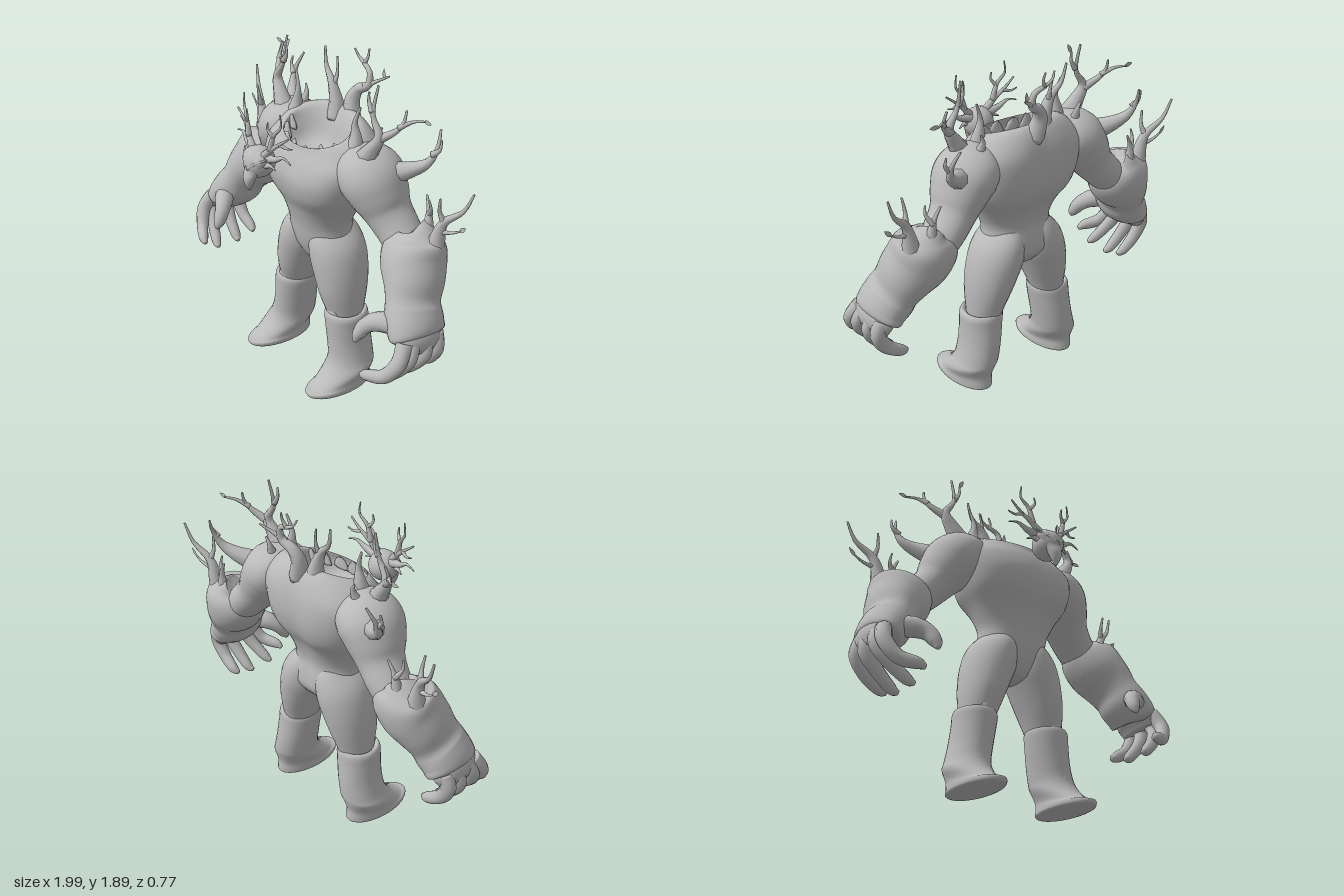
import * as THREE from 'three';
import { mergeGeometries } from 'three/addons/utils/BufferGeometryUtils.js';

const bark = new THREE.MeshStandardMaterial({ color: 0xbababa, side: THREE.DoubleSide });
bark.name = 'pale grey bark';

// Smooth in-between rows of a short table of cross-sections
function refine(rows, steps) {
  const out = [], n = rows.length - 1;
  for (let i = 0; i < n; i++) {
    const p = rows[Math.max(i - 1, 0)], a = rows[i], b = rows[i + 1], q = rows[Math.min(i + 2, n)];
    for (let s = 0; s < steps; s++) {
      const t = s / steps;
      out.push(a.map((v, k) => v + 0.5 * t * (b[k] - p[k]
        + t * (2 * p[k] - 5 * v + 4 * b[k] - q[k] + t * (3 * (v - b[k]) + q[k] - p[k])))));
    }
  }
  out.push(rows[n]);
  return out;
}

// Skin a list of rings and close both ends
function skin(rings) {
  const n = rings[0].length, pos = [], index = [];
  rings.forEach(r => r.forEach(p => pos.push(p.x, p.y, p.z)));
  for (let i = 0; i < rings.length - 1; i++) for (let j = 0; j < n; j++) {
    const k = (j + 1) % n, a = i * n + j, b = i * n + k;
    index.push(a, a + n, b, b, a + n, b + n);
  }
  [rings[0], rings[rings.length - 1]].forEach((r, e) => {
    const c = r.reduce((s, p) => s.add(p), new THREE.Vector3()).divideScalar(n);
    const id = pos.length / 3, base = e ? (rings.length - 1) * n : 0;
    pos.push(c.x, c.y, c.z);
    for (let j = 0; j < n; j++) {
      const a = base + j, b = base + (j + 1) % n;
      if (e) index.push(a, id, b); else index.push(a, b, id);
    }
  });
  const g = new THREE.BufferGeometry();
  g.setAttribute('position', new THREE.Float32BufferAttribute(pos, 3));
  g.setIndex(index);
  g.computeVertexNormals();
  return g;
}

// Level rings: rows of [x, y, z, halfWidth, halfDepth, tilt]
function stack(rows, sides = 28, shape = () => 1, steps = 4) {
  return skin(refine(rows, steps).map(([x, y, z, rx, rz, tilt = 0]) => {
    const ring = [];
    for (let j = 0; j < sides; j++) {
      const t = j / sides * Math.PI * 2, k = shape(t, y);
      const dz = Math.sin(t) * rz * k;
      ring.push(new THREE.Vector3(x + Math.cos(t) * rx * k, y - tilt * dz, z + dz));
    }
    return ring;
  }));
}

// Rings square to a path: rows of [x, y, z, halfWidth, halfDepth]
function limb(rows, sides = 18, steps = 5) {
  const r = refine(rows, steps), P = r.map(q => new THREE.Vector3(q[0], q[1], q[2]));
  return skin(r.map((q, i) => {
    const t = P[Math.min(i + 1, r.length - 1)].clone().sub(P[Math.max(i - 1, 0)]).normalize();
    const v = new THREE.Vector3(0, 0, 1).addScaledVector(t, -t.z).normalize();
    const u = t.clone().cross(v), ring = [];
    for (let j = 0; j < sides; j++) {
      const w = j / sides * Math.PI * 2;
      ring.push(P[i].clone().addScaledVector(u, Math.cos(w) * q[3]).addScaledVector(v, Math.sin(w) * q[4]));
    }
    return ring;
  }));
}

// Twig through a few points, flared at the root
const twig = (r0, r1, ...pts) => limb(pts.map((p, i) => {
  const r = r1 + (r0 - r1) * (1 - i / (pts.length - 1)) ** 1.6;
  return [...p, r, r];
}), 8, 4);

// Small flat leaf
function leaf(x, y, z, turn) {
  const s = new THREE.Shape();
  s.moveTo(0, 0);
  s.quadraticCurveTo(0.025, 0.02, 0, 0.06);
  s.quadraticCurveTo(-0.025, 0.02, 0, 0);
  return new THREE.ShapeGeometry(s, 5).rotateZ(turn).translate(x, y, z);
}

export function createModel() {
  const model = new THREE.Group();
  const add = (name, parts, parent = model) => {
    const list = [].concat(parts).map(g => { g.deleteAttribute('uv'); return g; });
    const m = new THREE.Mesh(list.length > 1 ? mergeGeometries(list) : list[0], bark);
    m.name = name;
    parent.add(m);
  };
  const gap = (t, c) => Math.atan2(Math.sin(t - c), Math.cos(t - c));
  const { smoothstep } = THREE.MathUtils;

  // Torso with a boxy chest, a hollow at the neck, a spine groove and a chest crease
  add('torso', stack([
    [0, 0.70, -0.08, 0.03, 0.05, 0], [0, 0.725, -0.085, 0.09, 0.1, 0], [0, 0.80, -0.095, 0.18, 0.15, 0],
    [0, 0.88, -0.085, 0.21, 0.16, 0], [0, 0.97, -0.07, 0.208, 0.16, 0], [0, 1.08, -0.07, 0.255, 0.19, 0],
    [0, 1.18, -0.075, 0.315, 0.24, 0], [0, 1.29, -0.08, 0.35, 0.26, 0.03], [0, 1.40, -0.09, 0.36, 0.24, 0.12],
    [0, 1.49, -0.085, 0.30, 0.20, 0.25], [0, 1.515, -0.06, 0.225, 0.17, 0.33], [0, 1.45, -0.03, 0.195, 0.15, 0.25],
    [0, 1.36, -0.025, 0.14, 0.11, 0.1], [0, 1.33, -0.025, 0.02, 0.02, 0],
  ], 48, (t, y) => {
    const back = Math.exp(-(gap(t, -Math.PI / 2) ** 2) / 0.06) * 0.07;
    const rise = smoothstep(y, 1.1, 1.2) - smoothstep(y, 1.3, 1.42);
    const chest = Math.exp(-(gap(t, Math.PI / 2) ** 2) / 0.03) * 0.025 * rise;
    const box = 0.07 * Math.sin(2 * t) ** 2 * (smoothstep(y, 1.0, 1.2) - smoothstep(y, 1.4, 1.5));
    return 1 - back - chest + box;
  }));

  // Splintered front edge of the hollow
  const splinters = [];
  [0.3, 0.72, 1.2, 1.62, 2.1, 2.5, 2.9].forEach((t, i) => {
    const x = Math.cos(t), z = Math.sin(t), y = 1.5 - 0.055 * z;
    splinters.push(limb([[0.22 * x, y - 0.05, -0.06 + 0.165 * z, 0.06, 0.02],
      [0.215 * x, y - 0.01, -0.06 + 0.16 * z, 0.035, 0.015],
      [0.2 * x, y + 0.015 + 0.012 * (i % 2), -0.06 + 0.15 * z, 0.003, 0.003]], 8, 3));
  });
  add('neckSplinters', splinters);

  for (const s of [1, -1]) {
    const side = new THREE.Group();
    side.name = s > 0 ? 'leftSide' : 'rightSide';
    model.add(side);
    const m = rows => rows.map(([x, ...rest]) => [s * x, ...rest]);
    const tw = (r0, r1, ...p) => twig(r0, r1, ...m(p));

    // Round shoulder running into a slimmer upper arm
    add('upperArm', limb(m([[0.22, 1.42, -0.12, 0.06, 0.1], [0.29, 1.40, -0.12, 0.125, 0.165],
      [0.375, 1.35, -0.125, 0.157, 0.186], [0.435, 1.265, -0.14, 0.14, 0.165], [0.485, 1.185, -0.155, 0.113, 0.135],
      [0.56, 1.10, -0.17, 0.103, 0.122], [0.66, 1.0, -0.17, 0.095, 0.11]]), 28), side);
    // Heavy forearm that covers the back of the hand
    add('forearm', limb(m([[0.655, 1.15, -0.2, 0.05, 0.06], [0.66, 1.14, -0.2, 0.10, 0.105],
      [0.672, 1.08, -0.187, 0.172, 0.152], [0.705, 1.0, -0.152, 0.172, 0.173], [0.76, 0.92, -0.115, 0.145, 0.167],
      [0.80, 0.84, -0.08, 0.117, 0.155], [0.83, 0.785, -0.06, 0.125, 0.16], [0.868, 0.735, -0.045, 0.116, 0.163],
      [0.895, 0.69, -0.04, 0.097, 0.16], [0.9, 0.68, -0.04, 0.05, 0.1]]), 28), side);

    // Hand: palm, four curled fingers and a thumb
    const hand = [limb(m([[0.86, 0.76, -0.05, 0.08, 0.12],
      [0.91, 0.69, -0.035, 0.08, 0.145], [0.925, 0.62, -0.025, 0.05, 0.12]]), 20)];
    [[0.075, 0.23, 0.47], [0.02, 0.14, 0.415], [-0.06, 0.0, 0.41], [-0.125, -0.11, 0.44]].forEach(([zb, zt, yt]) => {
      hand.push(limb(m([[0.93, 0.70, zb, 0.042, 0.045], [0.953, 0.61, zb + (zt - zb) * 0.35, 0.044, 0.04],
        [0.90, 0.52, zb + (zt - zb) * 0.65, 0.039, 0.035], [0.815, yt + 0.025, zt - 0.01, 0.031, 0.028],
        [0.775, yt + 0.01, zt, 0.012, 0.012]]), 12));
    });
    hand.push(limb(m([[0.86, 0.74, 0.04, 0.05, 0.05], [0.77, 0.75, 0.09, 0.055, 0.055],
      [0.71, 0.72, 0.14, 0.045, 0.045], [0.685, 0.66, 0.18, 0.034, 0.034], [0.685, 0.62, 0.2, 0.012, 0.012]]), 12));
    add('hand', hand, side);

    add('leg', limb(m([[0.07, 0.98, -0.075, 0.07, 0.1], [0.10, 0.89, -0.085, 0.108, 0.152], [0.138, 0.80, -0.088, 0.138, 0.168],
      [0.175, 0.70, -0.085, 0.135, 0.163], [0.207, 0.58, -0.08, 0.117, 0.145],
      [0.23, 0.46, -0.08, 0.094, 0.112], [0.24, 0.38, -0.08, 0.08, 0.09]]), 26), side);
    // Tall boot with a pointed knee flap
    add('boot', [stack(m([[0.30, 0.003, 0.015, 0.09, 0.19, 0], [0.30, 0.012, 0.015, 0.108, 0.212, 0],
      [0.30, 0.035, 0.015, 0.11, 0.213, 0], [0.30, 0.065, -0.005, 0.108, 0.19, 0.1],
      [0.297, 0.125, -0.055, 0.124, 0.155, 0.12], [0.285, 0.18, -0.08, 0.116, 0.137, 0],
      [0.265, 0.28, -0.083, 0.112, 0.132, 0], [0.25, 0.39, -0.077, 0.116, 0.128, 0],
      [0.245, 0.45, -0.075, 0.118, 0.125, 0], [0.245, 0.472, -0.075, 0.1, 0.11, 0],
      [0.24, 0.45, -0.075, 0.08, 0.09, 0]]), 28),
      limb(m([[0.235, 0.39, -0.01, 0.04, 0.03], [0.235, 0.46, 0.015, 0.05, 0.025], [0.235, 0.535, 0.025, 0.004, 0.004]]), 12)], side);

    // Branches on the shoulder
    add('shoulderBranches', [
      tw(0.065, 0.006, [0.35, 1.44, -0.08], [0.41, 1.53, -0.09], [0.455, 1.62, -0.1], [0.40, 1.72, -0.1], [0.40, 1.87, -0.13]),
      tw(0.018, 0.005, [0.395, 1.73, -0.1], [0.365, 1.78, -0.1], [0.365, 1.83, -0.1]),
      tw(0.025, 0.006, [0.45, 1.60, -0.1], [0.52, 1.66, -0.15], [0.545, 1.71, -0.18], [0.54, 1.77, -0.2]),
      tw(0.016, 0.005, [0.53, 1.68, -0.16], [0.58, 1.72, -0.21], [0.63, 1.73, -0.25]),
      tw(0.065, 0.006, [0.45, 1.38, -0.18], [0.53, 1.42, -0.25], [0.60, 1.47, -0.3], [0.625, 1.55, -0.34], [0.6, 1.64, -0.38]),
      tw(0.02, 0.005, [0.615, 1.52, -0.32], [0.655, 1.56, -0.33], [0.655, 1.61, -0.34]),
      tw(0.055, 0.006, [0.27, 1.46, -0.09], [0.265, 1.54, -0.1], [0.255, 1.62, -0.1], [0.285, 1.71, -0.11]),
      tw(0.035, 0.005, [0.33, 1.46, -0.17], [0.32, 1.54, -0.2], [0.34, 1.59, -0.21]),
      leaf(s * 0.62, 1.73, -0.245, -s * 1.5),
    ], side);

    // Branches on the forearm
    add('forearmBranches', [
      tw(0.06, 0.006, [0.79, 1.05, -0.21], [0.80, 1.16, -0.22], [0.83, 1.26, -0.23], [0.92, 1.35, -0.27], [0.965, 1.46, -0.29]),
      tw(0.02, 0.006, [0.83, 1.26, -0.23], [0.815, 1.32, -0.21], [0.825, 1.4, -0.2]),
      tw(0.015, 0.005, [0.815, 1.2, -0.22], [0.88, 1.22, -0.24], [0.93, 1.25, -0.25]),
      tw(0.05, 0.006, [0.69, 1.08, -0.24], [0.69, 1.17, -0.25], [0.68, 1.25, -0.26], [0.645, 1.32, -0.27]),
      tw(0.018, 0.005, [0.685, 1.23, -0.26], [0.715, 1.28, -0.24], [0.71, 1.33, -0.23]),
      leaf(s * 0.925, 1.245, -0.25, -s * 0.8),
    ], side);
  }

  // Branches on the upper back
  add('backBranches', [
    twig(0.06, 0.006, [-0.06, 1.49, -0.22], [-0.07, 1.58, -0.22], [-0.11, 1.68, -0.22], [-0.175, 1.75, -0.23], [-0.2, 1.85, -0.24]),
    twig(0.018, 0.005, [-0.1, 1.66, -0.22], [-0.09, 1.73, -0.24], [-0.105, 1.82, -0.25]),
    twig(0.055, 0.012, [0.03, 1.49, -0.25], [0.005, 1.6, -0.27], [0.03, 1.67, -0.29], [0.09, 1.71, -0.31], [0.085, 1.78, -0.32],
      [0.02, 1.81, -0.33]),
    twig(0.012, 0.005, [0.035, 1.805, -0.33], [-0.02, 1.83, -0.33], [-0.045, 1.87, -0.32]),
    twig(0.012, 0.005, [0.03, 1.81, -0.33], [0.045, 1.85, -0.34], [0.04, 1.89, -0.35]),
    twig(0.02, 0.005, [0.07, 1.70, -0.3], [0.13, 1.74, -0.33], [0.19, 1.78, -0.37]),
    leaf(0.165, 1.76, -0.353, 0),
    leaf(-0.365, 1.825, -0.1, -0.5),
  ]);

  // Floating head: round skull, beaked mask, brows and antlers
  const head = new THREE.Group();
  head.name = 'head';
  head.position.x = -0.045;
  model.add(head);
  add('skull', new THREE.SphereGeometry(0.086, 24, 16).translate(0, 1.385, 0.293), head);
  add('mask', stack([[0, 1.235, 0.36, 0.006, 0.006], [0, 1.27, 0.362, 0.025, 0.022], [0, 1.31, 0.355, 0.04, 0.034],
    [0, 1.35, 0.338, 0.055, 0.038], [0, 1.39, 0.325, 0.08, 0.046], [0, 1.425, 0.315, 0.088, 0.05],
    [0, 1.46, 0.30, 0.055, 0.035]], 20), head);
  for (const s of [1, -1]) {
    const tw = (r0, r1, ...p) => twig(r0, r1, ...p.map(([x, y, z]) => [s * x, y, z]));
    add('brow', tw(0.016, 0.005, [0.008, 1.37, 0.368], [0.05, 1.405, 0.355], [0.1, 1.44, 0.315]), head);
    add('cheekSpike', tw(0.028, 0.003, [0.05, 1.385, 0.31], [0.1, 1.4, 0.295], [0.14, 1.385, 0.285]), head);
    add('ear', tw(0.03, 0.003, [0.05, 1.425, 0.29], [0.13, 1.445, 0.28], [0.19, 1.475, 0.27], [0.25, 1.46, 0.265]), head);
    add('antler', [
      tw(0.026, 0.005, [0.045, 1.43, 0.3], [0.1, 1.49, 0.29], [0.17, 1.55, 0.27], [0.235, 1.6, 0.27]),
      tw(0.018, 0.004, [0.1, 1.49, 0.29], [0.125, 1.58, 0.285], [0.17, 1.64, 0.27], [0.165, 1.71, 0.27]),
      tw(0.013, 0.004, [0.125, 1.57, 0.285], [0.095, 1.61, 0.3], [0.1, 1.65, 0.3]),
      tw(0.012, 0.004, [0.16, 1.54, 0.27], [0.2, 1.53, 0.255], [0.24, 1.54, 0.25]),
    ], head);
  }
  return model;
}
